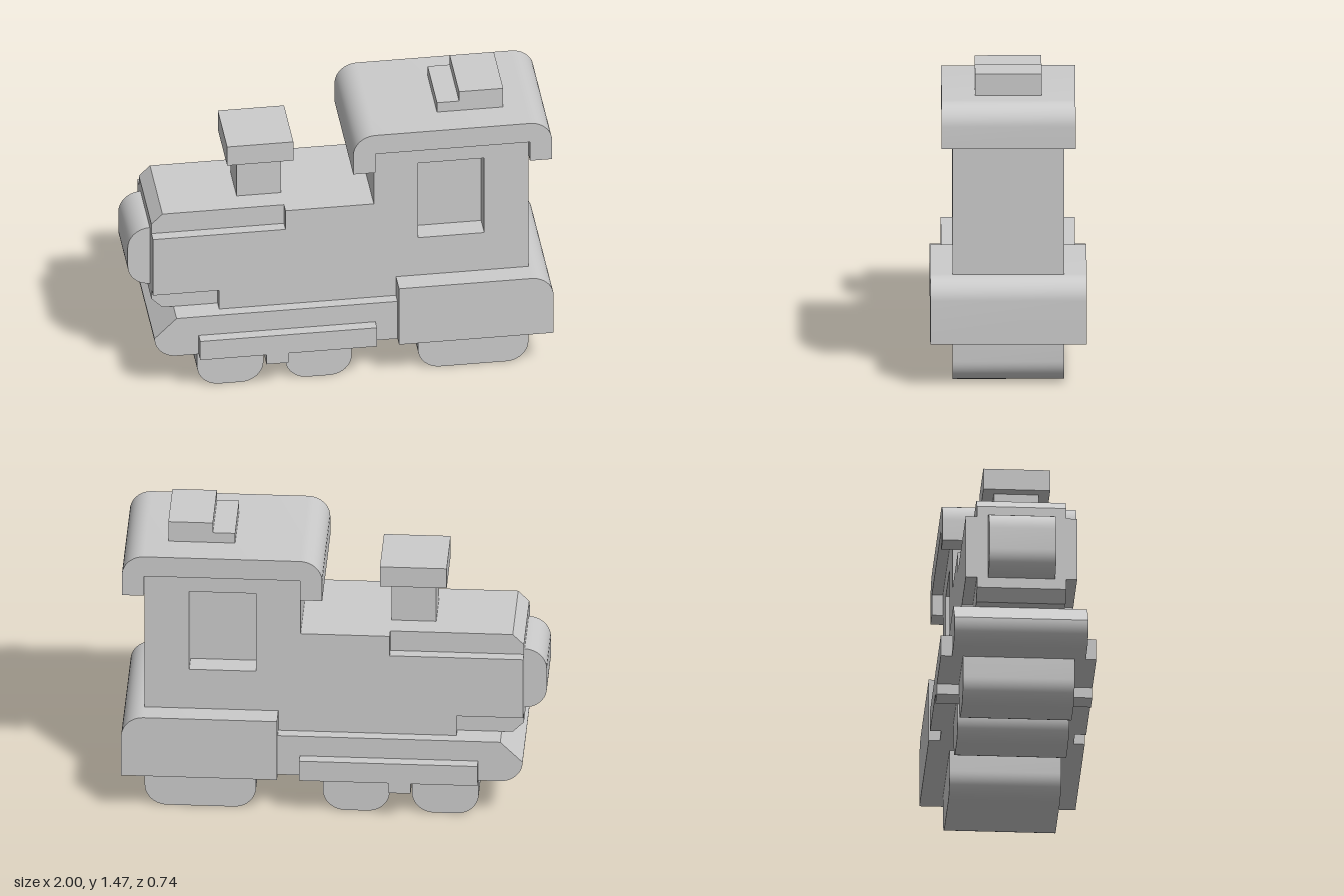
import * as THREE from 'three';
import { toCreasedNormals } from 'three/addons/utils/BufferGeometryUtils.js';

const U = 1 / 19; // grid unit: every dimension below is in whole units

// Points are [x, y] or [x, y, r]; r rounds a right-angled corner.
function outline(points) {
  const out = [];
  points.forEach(([x, y, r], i) => {
    const corner = new THREE.Vector2(x, y);
    if (!r) { out.push(corner); return; }
    const n = points.length;
    const toward = ([px, py]) => new THREE.Vector2(px, py).sub(corner).normalize().multiplyScalar(r);
    const back = toward(points[(i + n - 1) % n]);
    const ahead = toward(points[(i + 1) % n]);
    const centre = corner.clone().add(back).add(ahead);
    for (let k = 0; k <= 10; k++) {
      const t = (k / 10) * Math.PI / 2;
      out.push(centre.clone().addScaledVector(ahead, -Math.cos(t)).addScaledVector(back, -Math.sin(t)));
    }
  });
  return out;
}

const rect = (x0, y0, x1, y1) => [[x0, y0], [x1, y0], [x1, y1], [x0, y1]];

export function createModel() {
  const model = new THREE.Group();
  model.name = 'toyLocomotive';
  const material = new THREE.MeshStandardMaterial({ color: 0xcccccc });

  // Side profile extruded across the width from z0 to z1
  function slab(name, points, z0, z1, hole) {
    const shape = new THREE.Shape(outline(points));
    if (hole) shape.holes.push(new THREE.Path(outline(hole)));
    let geometry = new THREE.ExtrudeGeometry(shape, { depth: z1 - z0, bevelEnabled: false });
    geometry.translate(0, 0, z0);
    geometry.scale(U, U, U);
    geometry = toCreasedNormals(geometry, 0.5);
    const mesh = new THREE.Mesh(geometry, material);
    mesh.name = name;
    model.add(mesh);
  }

  // Wheels, rounded along the bottom
  for (const [name, x0, x1] of [['frontWheel', -13, -7], ['middleWheel', -5, 1], ['rearWheel', 7, 17]]) {
    slab(name, [[x0, 0, 2], [x1, 0, 2], [x1, 4], [x0, 4]], -5, 5);
  }

  // Chassis: footplate, side rods with a small tab, rear skirt
  slab('footplate', [[-17, 4, 2], [5, 4], [5, 8], [-15, 8], [-17, 6.01]], -6, 6);
  slab('sideRods', [[-13, 4], [-7, 4], [-7, 3], [-5, 3], [-5, 4], [3, 4], [3, 6], [-13, 6]], -7, 7);
  slab('rearSkirt', [[5, 4], [19, 4], [19, 10, 2], [5, 10]], -7, 7);

  // Boiler core with chamfered front, and rounded nose
  slab('boiler', [[-16, 8], [3, 8], [3, 18], [-16, 18], [-17, 17], [-17, 9]], -4, 4);
  slab('nose', [[-19, 10, 2], [-15, 10], [-15, 16], [-19, 16, 2]], -3, 3);

  // Cab core and stepped side walls with window recesses
  slab('cabCore', rect(3, 8, 17, 24), -3, 3);
  const wall = [[-17, 10], [-11, 10], [-11, 8], [17, 8], [17, 24], [3, 24], [3, 18], [-5, 18], [-5, 16], [-17, 16]];
  const windowHole = rect(7, 14, 13, 22);
  slab('leftWall', wall, 3, 5, windowHole);
  slab('rightWall', wall, -5, -3, windowHole);

  // Overhanging roof and its stepped hatch
  slab('roof', [[1, 22], [3, 22], [3, 24], [17, 24], [17, 22], [19, 22], [19, 26, 2], [1, 26, 2]], -6, 6);
  slab('roofHatch', [[9, 26], [15, 26], [15, 28], [11, 28], [11, 27], [9, 27]], -3, 3);

  // Chimney
  slab('chimneyStem', rect(-9, 18, -5, 22), -2, 2);
  slab('chimneyCap', rect(-10, 22, -4, 24), -3, 3);

  return model;
}
